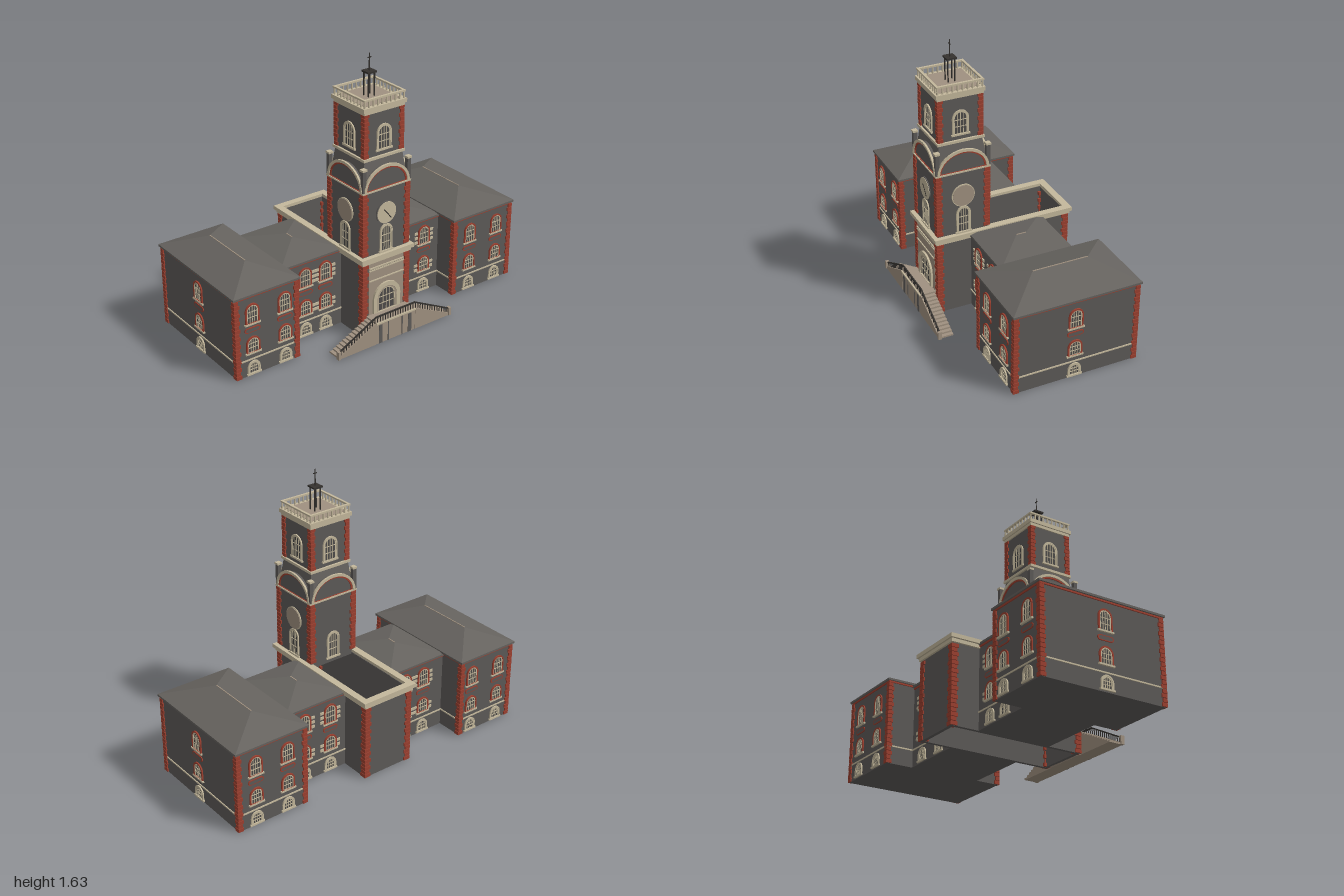
import * as THREE from 'three';
import { mergeGeometries } from 'three/addons/utils/BufferGeometryUtils.js';

const mat = (name, color, side = THREE.FrontSide) => {
  const m = new THREE.MeshStandardMaterial({ color, side });
  m.name = name;
  return m;
};
const M = {
  stone: mat('dark stone', 0x5d5a58), roof: mat('slate roof', 0x66635f), brick: mat('red brick', 0x9c4030),
  tan: mat('tan ashlar', 0xa09180), cream: mat('cream trim', 0xc4b89c), iron: mat('dark iron', 0x35322f),
  glass: mat('window glass', 0x4d4b49),
};
const PI = Math.PI;

const boxGeo = (x0, x1, y0, y1, z0, z1) =>
  new THREE.BoxGeometry(x1 - x0, y1 - y0, z1 - z0).translate((x0 + x1) / 2, (y0 + y1) / 2, (z0 + z1) / 2);
function add(parent, name, geo, material) {
  const m = new THREE.Mesh(geo, material);
  m.name = name;
  parent.add(m);
  return m;
}
const box = (p, name, material, ...b) => add(p, name, boxGeo(...b), material);
const merged = (p, name, material, list) => add(p, name, mergeGeometries(list), material);

// Opening with straight jambs and an elliptical head of rise r
function arch(w, h, r, y0 = 0, Type = THREE.Shape) {
  const s = new Type();
  s.moveTo(-w / 2, y0);
  s.lineTo(w / 2, y0);
  s.lineTo(w / 2, Math.max(h - r, y0));
  s.absellipse(0, Math.max(h - r, y0), w / 2, h - Math.max(h - r, y0), 0, PI, false);
  s.closePath();
  return s;
}
const extrude = (s, depth) => new THREE.ExtrudeGeometry(s, { depth, bevelEnabled: false, curveSegments: 8 });
function ring(w, h, r, t, depth) {
  const s = arch(w, h, r);
  s.holes.push(arch(w - 2 * t, h - t, r - t, 0.003, THREE.Path));
  return extrude(s, depth);
}
// Rectangular ring lying flat between two heights
function frame(x0, x1, z0, z1, t, y0, y1) {
  return mergeGeometries([boxGeo(x0, x1, y0, y1, z1 - t, z1), boxGeo(x0, x1, y0, y1, z0, z0 + t),
    boxGeo(x0, x0 + t, y0, y1, z0 + t, z1 - t), boxGeo(x1 - t, x1, y0, y1, z0 + t, z1 - t)]);
}

// Arched window: coloured surround, cream frame, glazing bars and sill
function archWindow(parent, w, h, hood, x, y, z, turn, r = w / 2) {
  const g = new THREE.Group();
  g.name = 'archedWindow';
  add(g, 'surround', ring(w, h, r, 0.009, 0.008), hood);
  const iw = w - 0.016, ih = h - 0.008, ir = r - 0.008;
  add(g, 'frame', ring(iw, ih, ir, 0.007, 0.006), M.cream);
  add(g, 'glass', new THREE.ShapeGeometry(arch(iw, ih, ir), 8).translate(0, 0, 0.002), M.glass);
  const bars = [-1, 0, 1].map(i => boxGeo(i * iw / 5 - 0.0018, i * iw / 5 + 0.0018, 0, ih - (i ? ir * 0.25 : 0.005), 0.002, 0.005));
  for (const f of [0.33, 0.62]) bars.push(boxGeo(-iw / 2, iw / 2, ih * f - 0.0018, ih * f + 0.0018, 0.002, 0.005));
  merged(g, 'glazingBars', M.cream, bars);
  box(g, 'sill', M.cream, -w / 2 - 0.006, w / 2 + 0.006, -0.008, 0.002, 0, 0.011);
  g.position.set(x, y, z);
  g.rotation.y = turn;
  parent.add(g);
}

// Stacked corner blocks, alternating long and short
function quoins(parent, x0, x1, z0, z1, y0, y1, size) {
  const list = [], n = Math.round((y1 - y0) / 0.024), step = (y1 - y0) / n;
  for (const [x, sx] of [[x0, -1], [x1, 1]]) for (const [z, sz] of [[z0, -1], [z1, 1]])
    for (let i = 0; i < n; i++) {
      const l = size * (i % 2 ? 0.8 : 1), c = 0.007 - l / 2;
      list.push(new THREE.BoxGeometry(l, step - 0.003, l).translate(x + sx * c, y0 + (i + 0.5) * step, z + sz * c));
    }
  merged(parent, 'cornerQuoins', M.brick, list);
}

// Hipped roof with a ridge running along z
function hipRoof(parent, x0, x1, z0, z1, y0, y1, rx, rz0, rz1) {
  const a = [x0, y0, z1], b = [x1, y0, z1], c = [x1, y0, z0], d = [x0, y0, z0], e = [rx, y1, rz1], f = [rx, y1, rz0];
  const g = new THREE.BufferGeometry();
  g.setAttribute('position', new THREE.Float32BufferAttribute([a, b, e, b, c, f, b, f, e, c, d, f, d, a, e, d, e, f].flat(), 3));
  g.computeVertexNormals();
  add(parent, 'hippedRoof', g, M.roof);
  box(parent, 'ridgeCap', M.tan, rx - 0.003, rx + 0.003, y1 - 0.004, y1 + 0.002, rz0, rz1);
}

// One column of three windows and a plaque on a wall
function windowColumn(parent, x, z, turn, striped) {
  archWindow(parent, 0.08, 0.075, M.cream, x, 0.015, z, turn);
  archWindow(parent, 0.088, 0.098, M.brick, x, 0.145, z, turn);
  archWindow(parent, 0.088, 0.12, M.brick, x, 0.325, z, turn);
  const g = new THREE.Group();
  g.name = 'wallDetails';
  const pill = new THREE.Shape();
  pill.absarc(0.035, 0, 0.015, -PI / 2, PI / 2, false);
  pill.absarc(-0.035, 0, 0.015, PI / 2, PI * 1.5, false);
  add(g, 'plaqueRim', extrude(pill, 0.005).translate(0, 0.285, 0), M.brick);
  add(g, 'plaquePanel', new THREE.ShapeGeometry(pill).scale(0.86, 0.68, 1).translate(0, 0.285, 0.006), M.stone);
  if (striped) {
    const list = [];
    for (const y of [0.15, 0.18, 0.335, 0.365, 0.395]) for (const s of [-1, 1])
      list.push(new THREE.BoxGeometry(0.024, 0.016, 0.006).translate(s * 0.058, y + 0.008, 0.003));
    merged(g, 'sideStripes', M.cream, list);
  }
  g.position.set(x, 0, z);
  g.rotation.y = turn;
  parent.add(g);
}

function wing(root, name, x0, x1, z0, z1, top, apex, ridge, cols, sideTurn) {
  const g = new THREE.Group();
  g.name = name;
  box(g, 'walls', M.stone, x0, x1, 0, top - 0.005, z0, z1);
  box(g, 'stringCourse', M.cream, x0 - 0.005, x1 + 0.005, 0.098, 0.106, z0 - 0.005, z1 + 0.005);
  box(g, 'brickFrieze', M.brick, x0 - 0.006, x1 + 0.006, top - 0.022, top - 0.012, z0 - 0.006, z1 + 0.006);
  box(g, 'eaves', M.roof, x0 - 0.014, x1 + 0.014, top - 0.012, top, z0 - 0.014, z1 + 0.014);
  hipRoof(g, x0 - 0.014, x1 + 0.014, z0 - 0.014, z1 + 0.014, top, apex, ...ridge);
  for (const x of cols) {
    windowColumn(g, x, z1, 0, !sideTurn);
    windowColumn(g, x, z0, PI, !sideTurn);
  }
  if (sideTurn) {
    quoins(g, x0, x1, z0, z1, 0, top - 0.022, 0.034);
    windowColumn(g, sideTurn > 0 ? x1 : x0, (z0 + z1) / 2 + 0.01, sideTurn);
  }
  root.add(g);
}

function tower(root) {
  const t = new THREE.Group();
  t.name = 'clockTower';
  t.position.set(-0.026, 0, 0.204);
  const h = 0.158, turns = [0, PI / 2, PI, -PI / 2];
  const slab = (name, material, half, y0, y1) => box(t, name, material, -half, half, y0, y1, -half, half);
  // Middle stage
  slab('middleStage', M.stone, h, 0.48, 0.9);
  quoins(t, -h, h, -h, h, 0.515, 0.895, 0.04);
  slab('arcadeCornice', M.cream, h + 0.01, 0.898, 0.908);
  for (const turn of turns.slice(0, 2))
    add(t, 'archedGable', extrude(arch(0.29, 0.128, 0.128), 2 * h).translate(0, 0.905, -h).rotateY(turn), M.stone);
  add(t, 'slopedShoulder', new THREE.CylinderGeometry(0.13 * Math.SQRT2, 0.152 * Math.SQRT2, 0.18, 4).toNonIndexed()
    .rotateY(PI / 4).translate(0, 0.995, 0), M.roof).geometry.computeVertexNormals();
  for (const sx of [-1, 1]) for (const sz of [-1, 1]) {
    const px = sx * 0.154, pz = sz * 0.154;
    box(t, 'cornerPier', M.stone, px - 0.012, px + 0.012, 0.905, 1.035, pz - 0.012, pz + 0.012);
    box(t, 'pierCap', M.cream, px - 0.015, px + 0.015, 1.035, 1.047, pz - 0.015, pz + 0.015);
  }
  // Upper stage
  const u = 0.13;
  slab('upperStage', M.stone, u, 1.07, 1.365);
  slab('upperPlinth', M.cream, u + 0.012, 1.075, 1.09);
  quoins(t, -u, u, -u, u, 1.09, 1.35, 0.034);
  slab('lowerCornice', M.cream, u + 0.008, 1.345, 1.362);
  slab('upperCornice', M.cream, u + 0.016, 1.362, 1.385);
  slab('deck', M.tan, 0.12, 1.385, 1.388);
  add(t, 'balustradeRail', frame(-0.14, 0.14, -0.14, 0.14, 0.014, 1.422, 1.432), M.cream);
  const balusters = [];
  for (const turn of turns) {
    for (let i = 0; i < 10; i++)
      balusters.push(new THREE.CylinderGeometry(0.004, 0.006, 0.04, 6).translate(-0.133 + i * 0.0296, 1.404, 0.133).rotateY(turn));
    const f = new THREE.Group();
    f.name = 'towerFace';
    f.rotation.y = turn;
    archWindow(f, 0.1, 0.145, M.cream, 0, 1.125, u, 0);
    archWindow(f, 0.088, 0.165, M.cream, 0, 0.515, h, 0);
    add(f, 'gableMoulding', ring(0.315, 0.138, 0.138, 0.016, 0.012).translate(0, 0.905, h), M.cream);
    add(f, 'gableBrickArch', ring(0.283, 0.12, 0.12, 0.01, 0.006).translate(0, 0.907, h), M.brick);
    if (turn !== PI) {
      const disc = (r, d) => new THREE.CylinderGeometry(r, r, d, 32).rotateX(PI / 2).translate(0, 0.75, h + d / 2);
      add(f, 'dialRim', disc(0.07, 0.006), turn ? M.cream : M.stone);
      add(f, 'dial', disc(0.065, 0.009), turn ? M.tan : M.cream);
      if (!turn) for (const [a, l] of [[0.75, 0.032], [-2.5, 0.048]])
        add(f, 'clockHand', new THREE.BoxGeometry(0.005, l, 0.003).translate(0, l / 2, 0).rotateZ(a).translate(0, 0.75, h + 0.01), M.iron);
    }
    t.add(f);
  }
  merged(t, 'balusters', M.cream, balusters);
  // Bell frame and finial
  for (const sx of [-1, 1]) for (const sz of [-1, 1])
    box(t, 'bellPost', M.iron, sx * 0.02 - 0.003, sx * 0.02 + 0.003, 1.385, 1.525, sz * 0.02 - 0.003, sz * 0.02 + 0.003);
  slab('bellFrameTop', M.iron, 0.03, 1.522, 1.532);
  add(t, 'finial', new THREE.CylinderGeometry(0.0025, 0.004, 0.1, 6).translate(0, 1.58, 0), M.iron);
  box(t, 'finialCross', M.iron, -0.012, 0.012, 1.603, 1.608, -0.002, 0.002);
  root.add(t);
}

function centralBlock(root) {
  const g = new THREE.Group();
  g.name = 'centralBlock';
  add(g, 'courtWalls', frame(-0.185, 0.135, -0.46, 0.365, 0.02, 0, 0.49), M.stone);
  quoins(g, -0.185, 0.135, -0.46, 0.365, 0, 0.46, 0.042);
  add(g, 'corniceLower', frame(-0.197, 0.147, -0.472, 0.378, 0.03, 0.465, 0.485), M.cream);
  add(g, 'corniceUpper', frame(-0.21, 0.16, -0.482, 0.39, 0.042, 0.485, 0.508), M.cream);
  // Entrance front
  box(g, 'ashlarFront', M.tan, -0.148, 0.098, 0, 0.466, 0.36, 0.372);
  for (const y of [0.35, 0.415, 0.43]) box(g, 'friezeLine', M.cream, -0.148, 0.098, y, y + 0.006, 0.37, 0.378);
  const dentils = [];
  for (let i = 0; i < 16; i++) dentils.push(boxGeo(-0.135 + i * 0.014, -0.128 + i * 0.014, 0.421, 0.43, 0.37, 0.377));
  merged(g, 'dentils', M.cream, dentils);
  add(g, 'portalArch', ring(0.19, 0.18, 0.095, 0.026, 0.014).translate(-0.026, 0.14, 0.37), M.cream);
  archWindow(g, 0.138, 0.154, M.tan, -0.026, 0.14, 0.372, 0);
  root.add(g);
}

function stairs(root) {
  const g = new THREE.Group();
  g.name = 'entranceStairs';
  g.position.x = -0.028;
  const L = 0.4, P = 0.14, H = 0.138, N = 12, zf = 0.468;
  box(g, 'landing', M.tan, -P, P, 0, H, 0.375, zf);
  for (const x of [-0.055, 0.045]) box(g, 'underPanel', M.stone, x - 0.003, x + 0.003, 0, H - 0.015, zf, zf + 0.003);
  for (const x of [-0.11, 0.1]) box(g, 'underDoor', M.stone, x - 0.012, x + 0.012, 0, H - 0.02, zf, zf + 0.003);
  box(g, 'landingEdge', M.cream, -P, P, H - 0.01, H, zf, zf + 0.007);
  for (const s of [-1, 1]) {
    const steps = [];
    for (let i = 0; i < N; i++) {
      const a = s * (P + i * (L - P) / N), b = s * (P + (i + 1) * (L - P) / N);
      steps.push(boxGeo(Math.min(a, b), Math.max(a, b), 0, H * (N - i) / (N + 1), 0.38, zf - 0.012));
    }
    merged(g, 'steps', M.tan, steps);
    const side = new THREE.Shape([[P, 0], [L, 0], [L, 0.012], [P, H]].map(p => new THREE.Vector2(p[0] * s, p[1])));
    add(g, 'sideWall', extrude(side, 0.014).translate(0, 0, zf - 0.012), M.tan);
    const rail = new THREE.Shape([[P, H + 0.032], [L, 0.036], [L, 0.044], [P, H + 0.04]].map(p => new THREE.Vector2(p[0] * s, p[1])));
    add(g, 'handrail', extrude(rail, 0.008).translate(0, 0, zf - 0.009), M.iron);
    box(g, 'newelPost', M.tan, s * L - 0.008, s * L + 0.008, 0, 0.05, zf - 0.014, zf + 0.008);
  }
  box(g, 'landingRail', M.iron, -P, P, H + 0.032, H + 0.04, zf - 0.009, zf - 0.001);
  const posts = [];
  for (let i = 0; i <= 44; i++) {
    const x = -L + i * 2 * L / 44;
    const y = Math.abs(x) < P ? H : H - (Math.abs(x) - P) / (L - P) * (H - 0.008);
    posts.push(boxGeo(x - 0.002, x + 0.002, y - 0.004, y + 0.035, zf - 0.007, zf - 0.003));
  }
  merged(g, 'railPosts', M.iron, posts);
  root.add(g);
}

export function createModel() {
  const root = new THREE.Group();
  root.name = 'clockTowerHall';
  wing(root, 'rightOuterWing', -0.986, -0.586, -0.457, 0.303, 0.505, 0.582, [-0.785, -0.26, 0.1], [-0.88, -0.672], -PI / 2);
  wing(root, 'leftOuterWing', 0.536, 0.984, -0.44, 0.303, 0.505, 0.582, [0.755, -0.25, 0.085], [0.66, 0.868], PI / 2);
  wing(root, 'rightLinkWing', -0.59, -0.18, -0.292, 0.158, 0.492, 0.54, [-0.385, -0.09, -0.035], [-0.435, -0.297], 0);
  wing(root, 'leftLinkWing', 0.13, 0.54, -0.276, 0.158, 0.492, 0.54, [0.335, -0.09, -0.03], [0.245, 0.425], 0);
  centralBlock(root);
  tower(root);
  stairs(root);
  return root;
}
